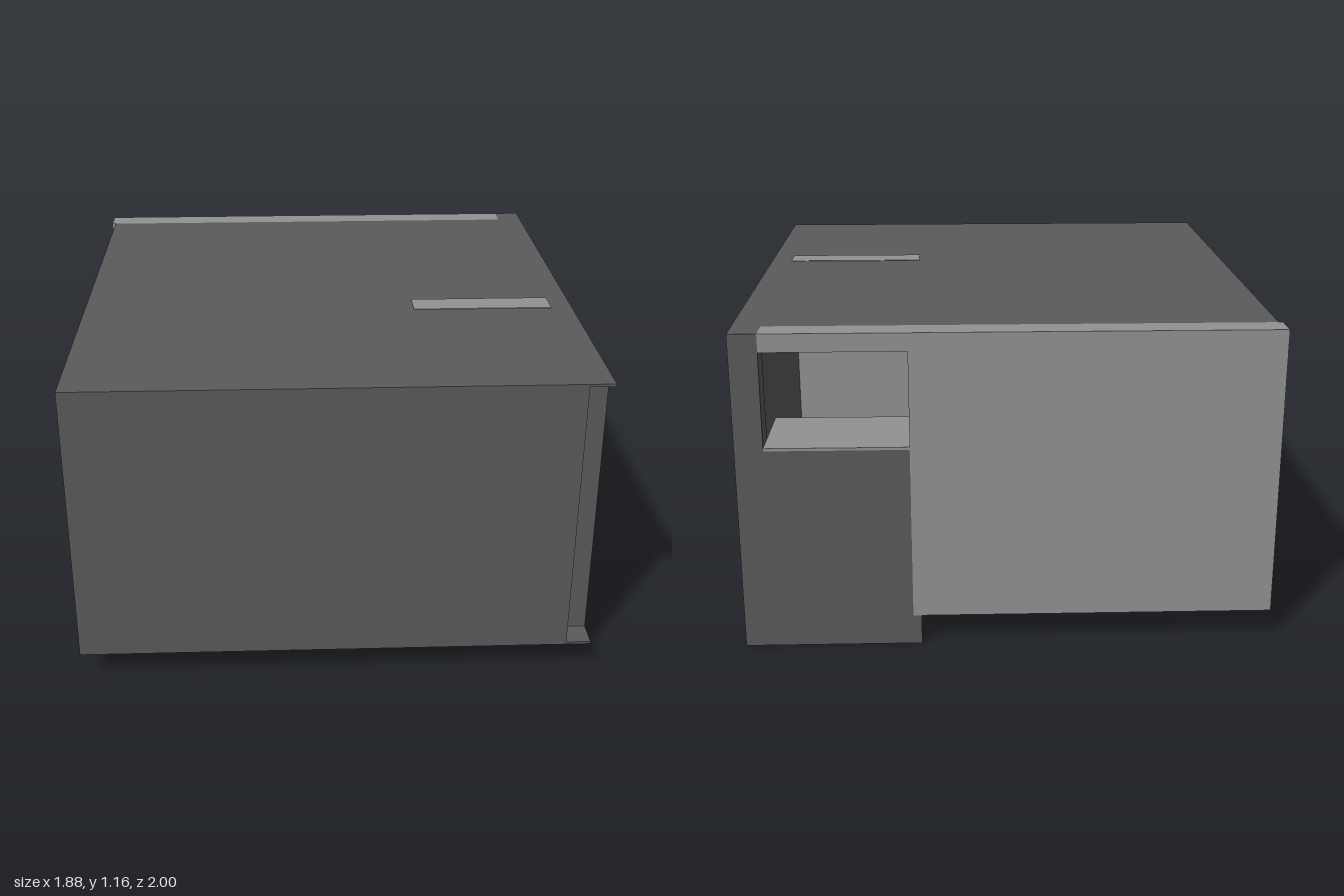
import * as THREE from 'three';

const dark = new THREE.MeshStandardMaterial({ color: 0x5a5a5a });
dark.name = 'darkGrey';
const light = new THREE.MeshStandardMaterial({ color: 0x929292 });
light.name = 'lightGrey';

export function createModel() {
  const model = new THREE.Group();

  // Box given by its [min, max] range on each axis
  function slab(name, material, [x0, x1], [y0, y1], [z0, z1]) {
    const mesh = new THREE.Mesh(new THREE.BoxGeometry(x1 - x0, y1 - y0, z1 - z0), material);
    mesh.position.set((x0 + x1) / 2, (y0 + y1) / 2, (z0 + z1) / 2);
    mesh.name = name;
    model.add(mesh);
  }

  const low = 0.11, top = 1.155;
  const inner = [low + 0.01, top - 0.01];

  // Thin roof and floor, reaching over the open front corner
  slab('roof', dark, [-0.93, 0.94], [top - 0.01, top], [-0.9, 1]);
  slab('floor', dark, [-0.93, 0.94], [low, low + 0.01], [-0.9, 1]);

  // Outer walls, leaving a square notch at the front left corner
  slab('frontWall', dark, [-0.93, 0.85], inner, [0.9, 1]);
  slab('leftWall', dark, [0.85, 0.94], inner, [-0.9, 0.9]);
  slab('rightWall', dark, [-0.93, -0.83], inner, [-0.9, 0.9]);
  slab('partition', dark, [0.24, 0.34], inner, [-0.9, 0.16]);

  // Back: light wall and lintel around the opening, dark panel and post
  slab('backWall', light, [-0.945, 0.34], [low, top], [-1, -0.9]);
  slab('lintel', light, [0.34, 0.84], [1.09, top], [-1, -0.9]);
  slab('backPanel', dark, [0.34, 0.94], [low, 0.74], [-1, -0.9]);
  slab('backPost', dark, [0.84, 0.94], [0.74, top], [-1, -0.9]);
  slab('backFoot', dark, [0.31, 0.94], [0, low], [-1, -0.9]);

  // Shelf inside the opening
  slab('shelf', light, [0.34, 0.84], [0.74, 0.75], [-1, -0.67]);

  // Inner pier showing through the roof, and foot bar under the floor
  slab('innerPier', light, [0.33, 0.86], [low + 0.01, top + 0.002], [0.16, 0.27]);
  slab('footBar', dark, [-0.81, 0.24], [0, low], [0.155, 0.26]);

  // Two runners showing just below the floor
  for (const x of [0.26, 0.77]) {
    slab('runner', light, [x, x + 0.125], [0.105, 0.3], [-0.47, 0.055]);
  }
  return model;
}
